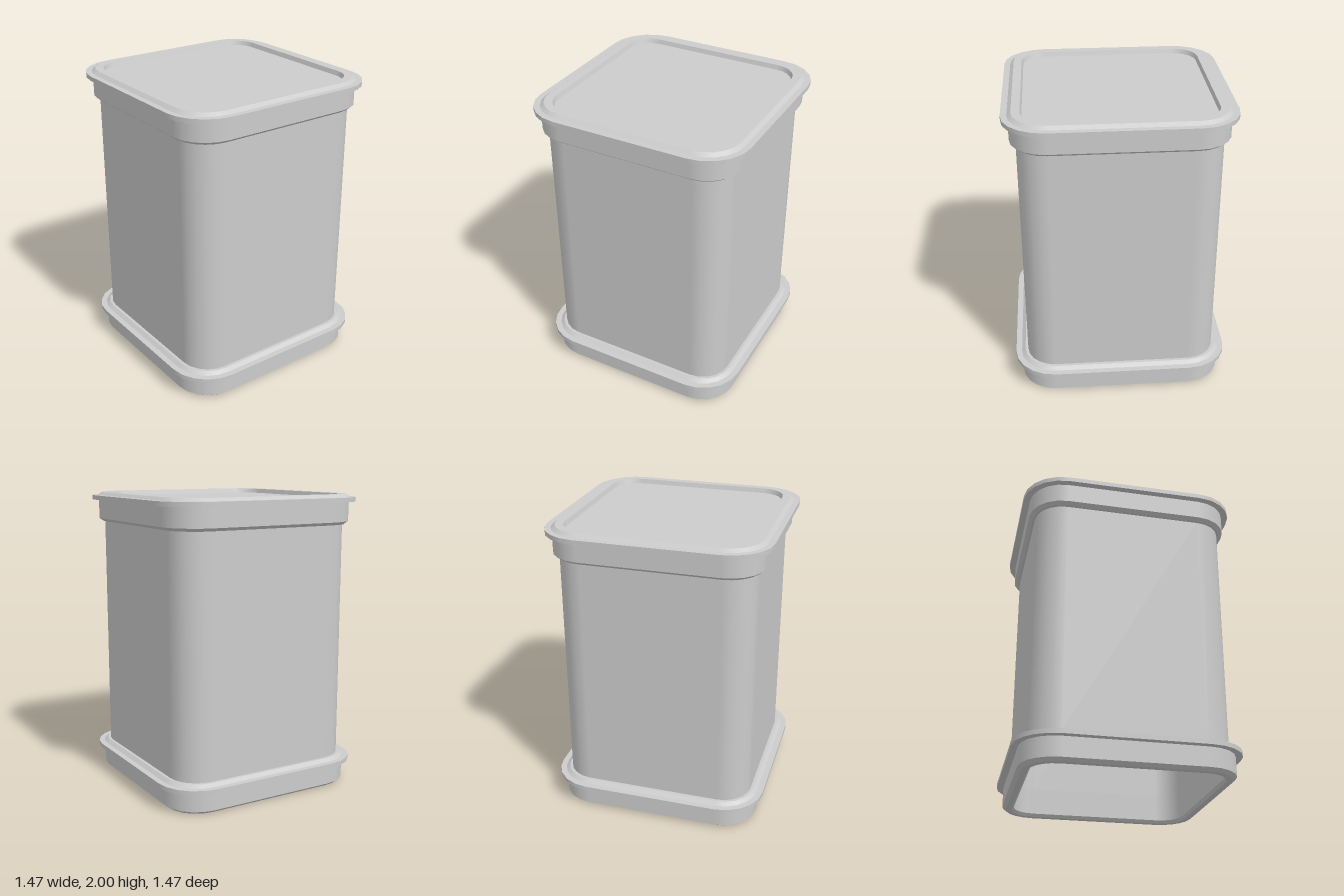
import * as THREE from 'three';

const CORNER = 0.455; // centre of every rounded corner
const STEPS = 5;      // facets per corner

// Sweeps a profile of [half width, y] around a rounded square.
// Edges along the profile stay sharp, the corners are smooth.
function sweep(name, profile, material) {
  const pos = [], nor = [], idx = [];
  for (let i = 0; i < profile.length - 1; i++) {
    const [r0, y0] = profile[i], [r1, y1] = profile[i + 1];
    const len = Math.hypot(r1 - r0, y1 - y0);
    const nr = (y1 - y0) / len, ny = (r0 - r1) / len;
    const start = pos.length / 3;
    let count = 0;
    for (let q = 0; q <= 4; q++) {
      const mid = (q + 0.5) * Math.PI / 2;
      const sx = Math.sign(Math.cos(mid)), sz = Math.sign(Math.sin(mid));
      for (let s = 0; s <= (q === 4 ? 0 : STEPS); s++) {
        const a = (q + s / STEPS) * Math.PI / 2;
        for (const [r, y] of [[r0, y0], [r1, y1]]) {
          const c = Math.min(CORNER, r);
          pos.push(sx * c + (r - c) * Math.cos(a), y, sz * c + (r - c) * Math.sin(a));
          nor.push(nr * Math.cos(a), ny, nr * Math.sin(a));
        }
        count++;
      }
    }
    for (let j = 0; j < count - 1; j++) {
      const k = start + j * 2;
      idx.push(k, k + 1, k + 2, k + 2, k + 1, k + 3);
    }
  }
  const geo = new THREE.BufferGeometry();
  geo.setAttribute('position', new THREE.Float32BufferAttribute(pos, 3));
  geo.setAttribute('normal', new THREE.Float32BufferAttribute(nor, 3));
  geo.setIndex(idx);
  const mesh = new THREE.Mesh(geo, material);
  mesh.name = name;
  return mesh;
}

// Outer side of a collar with chamfered edges and a thin flange
const collar = (y) => [
  [0.665, y], [0.69, y + 0.02], [0.69, y + 0.15], [0.735, y + 0.15],
  [0.735, y + 0.18], [0.695, y + 0.18], [0.67, y + 0.2],
];

export function createModel() {
  const group = new THREE.Group();
  const grey = new THREE.MeshStandardMaterial({ color: 0xcccccc, side: THREE.DoubleSide });

  // Open base ring
  group.add(sweep('baseCollar', [
    [0.61, 0.02], [0.625, 0], ...collar(0), [0.65, 0.2],
  ], grey));
  group.add(sweep('baseInnerWall', [[0.61, 0.2], [0.61, 0.02]], grey));

  // Hollow body
  group.add(sweep('bodyOuterWall', [[0.65, 0.2], [0.65, 1.8]], grey));
  group.add(sweep('bodyInnerWall', [[0.61, 1.94], [0.61, 0.2]], grey));

  // Lid with a slightly recessed top panel
  group.add(sweep('lid', [
    [0.65, 1.8], ...collar(1.8), [0.615, 2], [0.605, 1.97], [0, 1.97],
  ], grey));
  group.add(sweep('lidUnderside', [[0, 1.94], [0.61, 1.94]], grey));

  return group;
}
